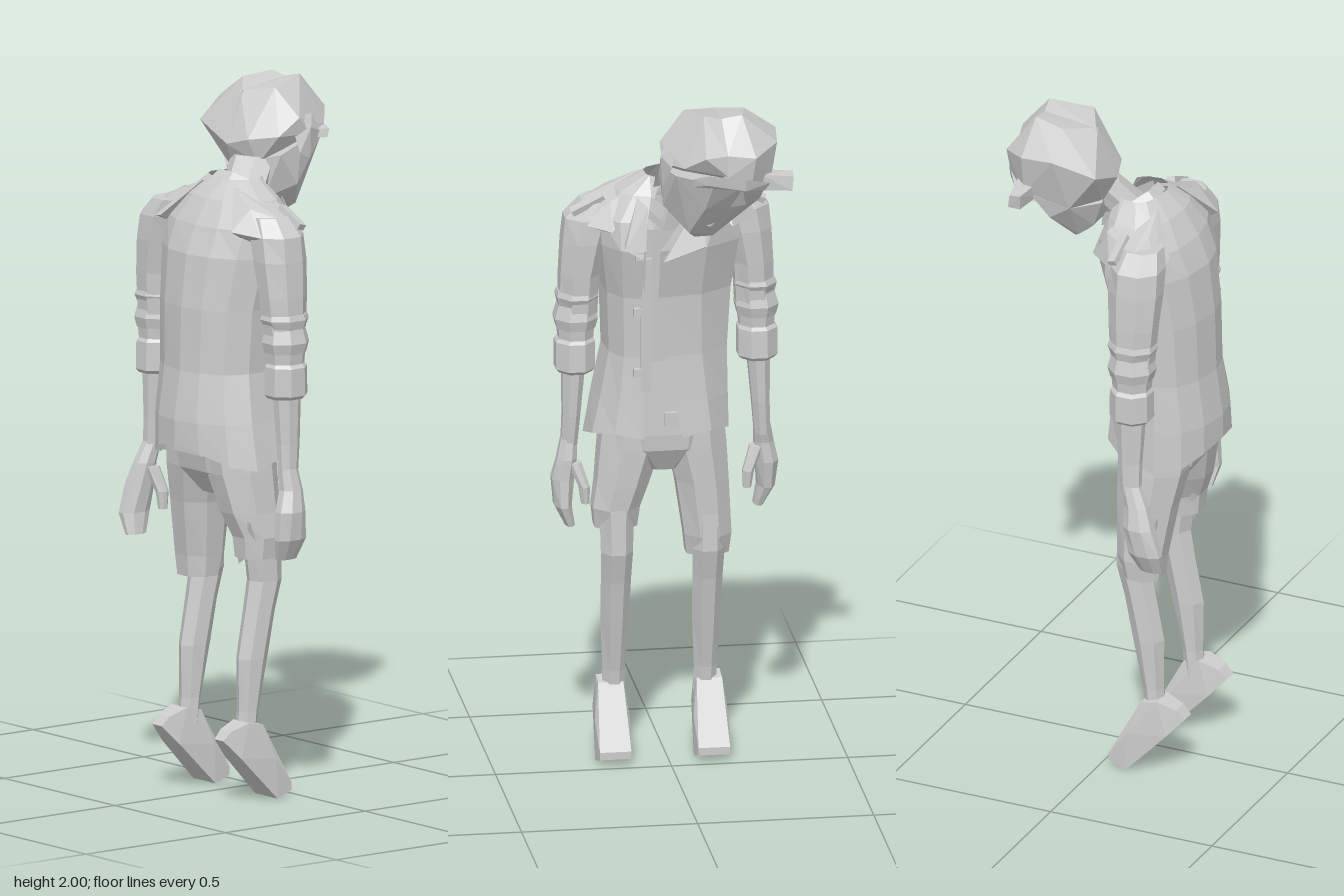
import * as THREE from 'three';
import { ConvexGeometry } from 'three/addons/geometries/ConvexGeometry.js';

const grey = new THREE.MeshStandardMaterial({ color: 0xcccccc, flatShading: true, side: THREE.DoubleSide });
grey.name = 'plainGrey';

function add(parent, name, geometry) {
  const mesh = new THREE.Mesh(geometry, grey);
  mesh.name = name;
  parent.add(mesh);
  return mesh;
}

// Skin between rings of points, optionally closed around and capped
function loft(rings, closed = true) {
  const out = [];
  const tri = (a, b, c) => out.push(...a, ...b, ...c);
  const n = rings[0].length;
  for (let i = 0; i < rings.length - 1; i++) {
    for (let j = 0; j < (closed ? n : n - 1); j++) {
      const k = (j + 1) % n;
      const [a, b, c, d] = [rings[i][j], rings[i][k], rings[i + 1][k], rings[i + 1][j]];
      tri(a, c, b);
      tri(a, d, c);
    }
  }
  if (closed) {
    const first = rings[0], last = rings[rings.length - 1];
    for (let j = 1; j < n - 1; j++) {
      tri(first[0], first[j], first[j + 1]);
      tri(last[0], last[j + 1], last[j]);
    }
  }
  const g = new THREE.BufferGeometry();
  g.setAttribute('position', new THREE.Float32BufferAttribute(out, 3));
  g.computeVertexNormals();
  return g;
}

// Limb through horizontal sections: x, y, z, half depth, half width
function limb(sections, sides = 7) {
  return loft(sections.map(([x, y, z, rx, rz]) =>
    Array.from({ length: sides }, (_, i) => {
      const a = (i + 0.5) / sides * Math.PI * 2;
      return [x + Math.cos(a) * rx, y, z + Math.sin(a) * rz];
    })));
}

const hull = pts => new ConvexGeometry(pts.map(p => new THREE.Vector3(...p)));

function box(parent, name, size, pos, rot = [0, 0, 0]) {
  const m = add(parent, name, new THREE.BoxGeometry(...size));
  m.position.set(...pos);
  m.rotation.set(...rot);
}

// The head is bowed and turned towards +x, -z
function buildHead(head) {
  // Hair in two masses that meet in a parting
  add(head, 'hairRight', hull([
    [.04, 1.965, -.115], [.2, 1.985, -.115], [.21, 2, -.06], [.09, 1.98, -.02], [.12, 1.9, .052],
    [.06, 1.85, .035], [.295, 1.9, -.055], [.275, 1.9, -.12], [-.02, 1.82, -.1], [0, 1.84, -.03],
    [.02, 1.74, -.12], [.03, 1.77, -.02], [.25, 1.86, .0], [.16, 1.85, .05], [.28, 1.84, -.12]]));
  add(head, 'hairLeft', hull([
    [.04, 1.965, -.105], [.2, 1.985, -.105], [.2, 1.995, -.17], [.11, 1.985, -.19], [.275, 1.9, -.12],
    [.278, 1.89, -.2], [.2, 1.91, -.27], [.1, 1.92, -.28], [-.012, 1.87, -.23], [-.02, 1.82, -.1],
    [.27, 1.82, -.19], [.2, 1.79, -.25], [.07, 1.76, -.23], [.02, 1.74, -.12], [.28, 1.83, -.11]]));
  add(head, 'face', hull([
    [.285, 1.82, -.08], [.26, 1.81, -.18], [.18, 1.79, -.25], [.235, 1.73, -.06], [.2, 1.72, -.16],
    [.13, 1.72, -.23], [.167, 1.64, -.025], [.145, 1.625, -.095], [.08, 1.64, -.145], [.1, 1.605, -.05],
    [.11, 1.61, -.1], [.04, 1.67, -.01], [.04, 1.67, -.13], [.06, 1.8, .045], [.12, 1.71, .042],
    [.13, 1.83, .05], [.22, 1.83, .02], [.01, 1.75, -.14], [.07, 1.76, -.23]]));
  add(head, 'nose', hull([
    [.25, 1.79, -.165], [.222, 1.735, -.178], [.21, 1.725, -.13], [.18, 1.725, -.175], [.22, 1.79, -.15]]));
  // Fringe edge above the brow, with its projecting tip
  add(head, 'browEdge', hull([
    [.285, 1.84, -.02], [.293, 1.85, -.06], [.285, 1.83, -.17], [.23, 1.8, -.245],
    [.278, 1.815, -.02], [.288, 1.82, -.06], [.28, 1.795, -.17], [.22, 1.775, -.24]]));
  add(head, 'fringeTip', hull([
    [.17, 1.82, -.24], [.23, 1.825, -.22], [.18, 1.815, -.318], [.215, 1.81, -.315],
    [.17, 1.775, -.22], [.23, 1.78, -.2], [.185, 1.77, -.31], [.222, 1.77, -.31]]));
  const lips = add(head, 'lips', new THREE.TorusGeometry(.032, .01, 4, 8));
  lips.position.set(.152, 1.666, -.1);
  lips.lookAt(.652, 1.066, -.6);
  lips.scale.set(1, .7, 1);
  add(head, 'rightEar', hull([
    [.11, 1.87, .035], [.13, 1.905, .035], [.19, 1.9, .02], [.21, 1.85, .03], [.16, 1.78, .05],
    [.12, 1.8, .055], [.16, 1.87, .055]]));
}

function buildTorso(torso) {
  add(torso, 'shirt', limb([
    [-.13, .98, .01, .13, .17], [-.13, 1.2, 0, .125, .15], [-.12, 1.45, 0, .13, .16],
    [-.08, 1.6, 0, .1, .14], [-.06, 1.68, -.01, .075, .09]], 8));
  add(torso, 'neck', limb([
    [-.04, 1.6, 0, .07, .07], [-.02, 1.7, -.025, .066, .07], [.06, 1.79, -.07, .07, .065]]));
  // Jacket levels: height, back, front, right side, left side, right and left edge of the opening
  const levels = [
    [.98, -.295, .02, .228, -.18, .08, -.03], [1.08, -.295, .015, .205, -.178, .08, -.01],
    [1.22, -.275, .01, .178, -.175, .08, .02], [1.4, -.27, .02, .185, -.185, .08, .04],
    [1.55, -.252, .055, .205, -.205, .08, .04], [1.63, -.22, .04, .21, -.21, .075, -.02],
    [1.7, -.175, .015, .15, -.155, .06, -.06], [1.75, -.12, -.01, .07, -.1, .045, -.075]];
  add(torso, 'jacket', loft(levels.map(([y, b, f, r, l, gr, gl], i) => {
    const m = (b + f) / 2, t = f - b, d = i ? 0 : .03;
    const half = (s, g) => [
      [f, y, g], [f - .015, y + d / 2, g + (s - g) * .55], [m + t * .24, y, s * .95],
      [m - t * .1, y - d, s], [b + t * .18, y - d / 2, s * .82], [b + t * .05, y + d / 2, s * .45]];
    return [...half(r, gr), [b, y + d, .01], ...half(l, gl).reverse()];
  }), false));
  // Front edge strip and buttons
  box(torso, 'frontPlacket', [.012, .4, .03], [.016, 1.32, .075], [0, 0, -.04]);
  for (const y of [1.18, 1.36, 1.54]) box(torso, 'button', [.014, .024, .022], [y > 1.5 ? .056 : .02, y, .1]);
  // Lapels
  add(torso, 'rightLapel', hull([
    [.03, 1.67, .07], [.02, 1.7, .1], [.062, 1.56, .14], [.067, 1.53, .09], [.04, 1.57, .14], [.05, 1.53, .09]]));
  add(torso, 'leftLapel', hull([
    [.03, 1.66, -.06], [.01, 1.69, -.1], [.062, 1.56, -.09], [.065, 1.52, .03], [.04, 1.55, -.09], [.045, 1.52, .03]]));
  // Standing collar open at the throat, lower in front
  const collar = (s, y, drop, shift) => Array.from({ length: 8 }, (_, i) => {
    const a = .5 + i / 7 * (Math.PI * 2 - 1), c = Math.cos(a);
    return [-.035 + c * s + shift, y - c * drop, -.015 + Math.sin(a) * s * 1.15];
  });
  add(torso, 'collar', loft([collar(.085, 1.66, .06, 0), collar(.075, 1.72, .05, .015), collar(.088, 1.69, .06, .005)], false));
}

// side is +1 for the right limbs (+z) and -1 for the left limbs (-z)
function buildArm(arm, side) {
  const left = side < 0 ? 1 : 0;
  const sx = left ? -.14 : -.095;
  const s = rows => limb(rows.map(([x, y, z, rx, rz]) => [x, y, z * side, rx, rz]), 8);
  add(arm, 'sleeve', s([
    [sx, 1.32, .255, .062, .058], [sx, 1.45, .25, .073, .06], [sx, 1.55, .235, .08, .07],
    [sx, 1.62, .22, .078, .078], [sx, 1.67, .19, .06, .06]]));
  // Sloping shoulder from the neck to the sleeve
  const d = left * -.035;
  add(arm, 'shoulder', hull([
    [-.17 + d, 1.62, .24], [-.03 + d, 1.61, .25], [-.1 + d, 1.665, .25], [-.13 + d, 1.6, .28], [-.04, 1.71, .09],
    [-.13, 1.735, .07], [-.21, 1.63, .16], [.02, 1.6, .17], [-.15, 1.69, .17], [-.02, 1.68, .17],
    [-.1, 1.56, .18]].map(([x, y, z]) => [x, y, z * side])));
  add(arm, 'sleeveFold', s([
    [sx, 1.29, .26, .062, .058], [sx, 1.32, .26, .07, .066], [sx, 1.36, .258, .06, .056],
    [sx, 1.385, .256, .073, .064], [sx, 1.4, .255, .068, .06]]));
  add(arm, 'cuff', s([
    [sx, 1.16, .262, .055, .05], [sx, 1.17, .262, .064, .06], [sx, 1.25, .262, .062, .06],
    [sx, 1.26, .26, .056, .052], [sx, 1.3, .26, .06, .056]]));
  box(arm, 'epaulette', [.025, .018, .1], [left ? -.085 : -.05, 1.665, side * .232], [side * .45, 0, -.3]);
  const hx = left ? -.177 : -.105, wx = left ? -.145 : -.1;
  add(arm, 'forearm', s([
    [wx, .93, .278, .03, .024], [sx, 1.03, .272, .036, .027], [sx, 1.2, .265, .045, .036]]));
  add(arm, 'hand', s([
    [hx - left * .03, .7, .275, .035, .015], [hx - left * .02, .76, .295, .052, .026], [hx, .84, .295, .047, .034],
    [hx + .01, .9, .285, .036, .03], [wx, .96, .278, .03, .024]]));
  add(arm, 'thumb', s([
    [hx + .035, .77, .235, .014, .012], [hx + .035, .82, .238, .02, .017], [hx + .02, .89, .265, .022, .022]]));
}

function buildLeg(leg, side) {
  const z = side > 0 ? .145 : -.115;
  const hem = side > 0 ? .69 : .6;
  add(leg, 'shortsLeg', limb([
    [-.11, hem, z, .06, .065], [-.105, hem + .06, z, .072, .072], [-.115, .82, z * .87, .09, .08],
    [-.125, .93, z * .7, .105, .095], [-.13, 1.03, z * .65, .11, .09]], 8));
  // Loose pointed flap at the back of the hem
  add(leg, 'hemFlap', hull([
    [-.17, .8, z - .05], [-.17, .8, z + .05], [-.155, hem - .02, z - side * .02], [-.14, .72, z + .05], [-.14, .72, z - .05]]));
  add(leg, 'shin', limb([
    [-.148, .17, z, .03, .034], [-.14, .25, z, .03, .033], [-.125, .4, z, .047, .041],
    [-.1, .53, z, .047, .044], [-.08, .62, z, .052, .047], [-.09, .75, z, .06, .05]]));
  const foot = [], fz = z + side * .01;
  for (const [x, y, w] of [[-.25, .18, .02], [-.225, .205, .025], [-.17, .225, .036], [-.12, .215, .036],
    [-.2, .125, .04], [-.085, .115, .05], [-.025, .04, .045], [-.025, .018, .045], [-.08, 0, .05]])
    foot.push([x, y, fz + w], [x, y, fz - w]);
  add(leg, 'foot', hull(foot));
}

export function createModel() {
  const model = new THREE.Group();
  model.name = 'slouchingFigure';
  const part = name => {
    const g = new THREE.Group();
    g.name = name;
    model.add(g);
    return g;
  };
  buildHead(part('head'));
  buildTorso(part('torso'));
  const hips = part('hips');
  add(hips, 'shortsSeat', limb([
    [-.12, .86, .01, .06, .06], [-.125, .93, .01, .11, .16], [-.13, 1.02, .01, .125, .175], [-.13, 1.08, .01, .12, .165]], 8));
  box(hips, 'beltBuckle', [.012, .04, .04], [-.004, 1.03, 0]);
  for (const [name, side] of [['right', 1], ['left', -1]]) {
    buildArm(part(name + 'Arm'), side);
    buildLeg(part(name + 'Leg'), side);
  }
  return model;
}
